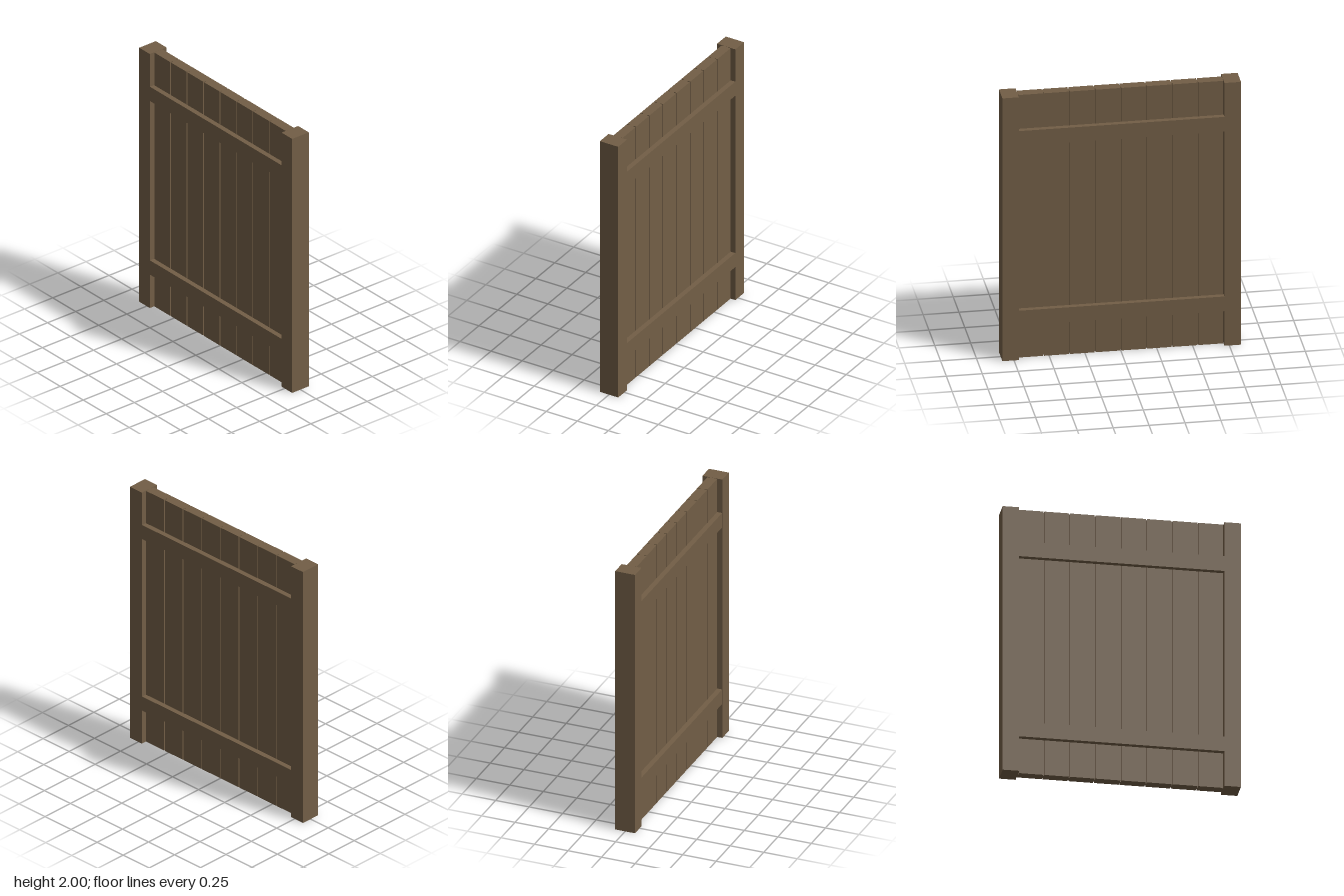
import * as THREE from 'three';

export function createModel() {
  const group = new THREE.Group();
  const wood = new THREE.MeshStandardMaterial({ color: 0x725e46 });
  wood.name = 'brown wood';

  const add = (name, geometry, x, y, z) => {
    const mesh = new THREE.Mesh(geometry, wood);
    mesh.name = name;
    mesh.position.set(x, y, z);
    group.add(mesh);
  };

  // Square end posts
  const post = new THREE.BoxGeometry(0.115, 2, 0.148);
  add('leftPost', post, 0.7735, 1, 0);
  add('rightPost', post, -0.7735, 1, 0);

  // Upright planks, stepped at the edges so they only meet at a central tongue
  const pitch = 1.432 / 8;
  const tongue = pitch / 2;
  const face = tongue - 0.0035;
  const profile = new THREE.Shape([
    [-face, -0.036], [face, -0.036], [face, -0.015], [tongue, -0.015],
    [tongue, 0.015], [face, 0.015], [face, 0.036], [-face, 0.036],
    [-face, 0.015], [-tongue, 0.015], [-tongue, -0.015], [-face, -0.015],
  ].map(([x, z]) => new THREE.Vector2(x, z)));
  const plank = new THREE.ExtrudeGeometry(profile, { depth: 1.998, bevelEnabled: false });
  plank.rotateX(-Math.PI / 2);
  for (let i = 0; i < 8; i++) add(`plank${i + 1}`, plank, (i - 3.5) * pitch, 0.001, 0);

  // Cross rails on both faces
  const rail = new THREE.BoxGeometry(1.432, 0.112, 0.037);
  for (const [level, y] of [['lower', 0.319], ['upper', 1.686]]) {
    add(`${level}FrontRail`, rail, 0, y, 0.0545);
    add(`${level}BackRail`, rail, 0, y, -0.0545);
  }
  return group;
}
